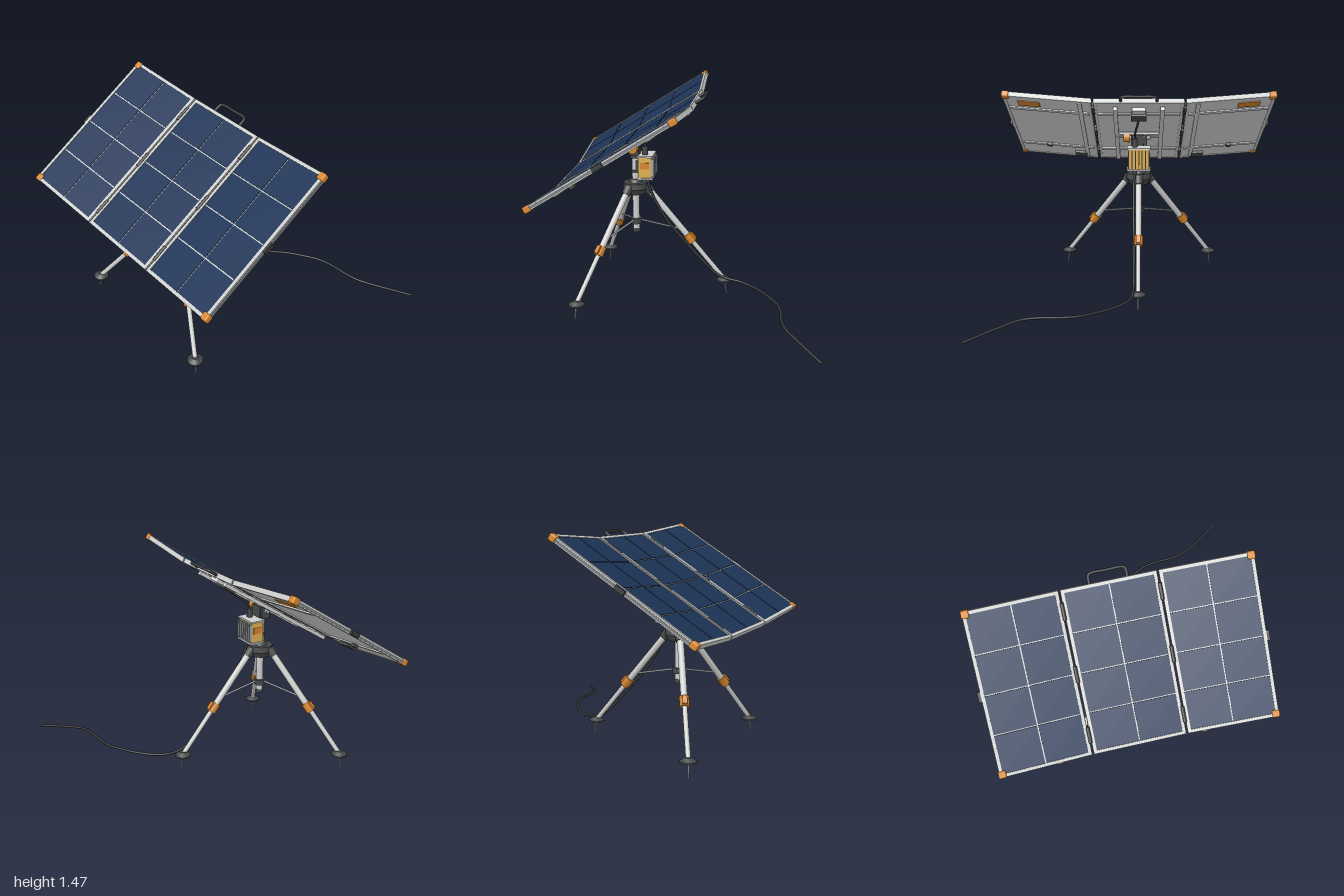
import * as THREE from 'three';
import { RoundedBoxGeometry } from 'three/addons/geometries/RoundedBoxGeometry.js';

const mat = (name, color) => {
  const m = new THREE.MeshStandardMaterial({ color });
  m.name = name;
  return m;
};
const M = {
  aluminium: mat('aluminium', 0xcdcfcd),
  steel: mat('steel', 0xa3a6a7),
  groove: mat('groove grey', 0x7a7d7f),
  back: mat('back sheet', 0xd6d8d6),
  dark: mat('dark plastic', 0x464849),
  rubber: mat('black rubber', 0x37383a),
  cell: mat('solar cell', 0x1d3356),
  orange: mat('orange', 0xd7862c),
  yellow: mat('amber housing', 0xe0b052),
};
const V = (x, y, z) => new THREE.Vector3(x, y, z);

function add(parent, name, geo, material, x = 0, y = 0, z = 0) {
  const m = new THREE.Mesh(geo, material);
  m.name = name;
  m.position.set(x, y, z);
  parent.add(m);
  return m;
}
const box = (p, name, material, w, h, d, x, y, z) =>
  add(p, name, new THREE.BoxGeometry(w, h, d), material, x, y, z);

// Cylinder running from a to b, with a radius at each end
function rod(p, name, material, a, b, ra, rb = ra, sides = 20) {
  const d = b.clone().sub(a);
  const m = add(p, name, new THREE.CylinderGeometry(rb, ra, d.length(), sides), material);
  m.position.copy(a).addScaledVector(d, 0.5);
  m.quaternion.setFromUnitVectors(V(0, 1, 0), d.normalize());
  return m;
}
function tube(p, name, material, points, r, n = 100) {
  const curve = new THREE.CatmullRomCurve3(points.map((q) => V(...q)));
  add(p, name, new THREE.TubeGeometry(curve, n, r, 10), material);
  for (const q of [points[0], points[points.length - 1]])
    add(p, name + 'End', new THREE.SphereGeometry(r, 10, 8), material, ...q);
}

const LEN = 1.088, T = 0.033, BAR = 0.022;

// One framed panel lying flat, cells facing +y
function panel(name, w) {
  const g = new THREE.Group();
  g.name = name;
  for (const s of [-1, 1]) {
    box(g, 'frameSide', M.aluminium, BAR, T, LEN, s * (w - BAR) / 2, 0, 0);
    box(g, 'frameEnd', M.aluminium, w - 2 * BAR, T, BAR, 0, 0, s * (LEN - BAR) / 2);
    box(g, 'frameGroove', M.groove, 0.004, 0.017, LEN - 0.01, s * w / 2, -0.002, 0);
  }
  const iw = w - 2 * BAR, il = LEN - 2 * BAR;
  box(g, 'backSheet', M.back, iw, 0.014, il, 0, -0.006, 0);
  box(g, 'cellBed', M.aluminium, iw, 0.008, il, 0, 0.005, 0);
  const gap = 0.008, cw = (iw - gap) / 2, cl = (il - 3 * gap) / 4;
  for (let i = 0; i < 2; i++)
    for (let j = 0; j < 4; j++)
      box(g, 'solarCell', M.cell, cw, 0.004, cl,
        (i - 0.5) * (cw + gap), 0.011, (j - 1.5) * (cl + gap));
  // Stiffening rails behind the sheet
  for (const z of [-0.35, 0.32]) box(g, 'crossRail', M.back, iw, 0.012, 0.035, 0, -0.016, z);
  return g;
}

function solarArray() {
  const g = new THREE.Group();
  g.name = 'solarArray';
  g.position.set(-0.07, 1.12, 0.41);
  g.rotation.x = 0.5585;
  g.add(panel('centrePanel', 0.61));
  for (const s of [-1, 1]) {
    const wing = new THREE.Group();
    wing.name = s > 0 ? 'leftWing' : 'rightWing';
    wing.position.set(s * 0.317, T / 2, 0);
    wing.rotation.z = s * 0.087;
    const p = panel('wingPanel', 0.6);
    p.position.set(s * 0.3, -T / 2, 0);
    wing.add(p);
    g.add(wing);
    // Corner guards, edge latch and back fittings
    for (const e of [-1, 1])
      add(p, 'cornerGuard', new RoundedBoxGeometry(0.05, 0.045, 0.05, 2, 0.01), M.orange,
        s * 0.282, 0, e * (LEN / 2 - 0.019));
    box(p, 'edgeLatch', M.rubber, 0.022, 0.03, 0.07, s * 0.308, 0, 0);
    box(p, 'backLabel', M.orange, 0.15, 0.008, 0.075, s * 0.13, -0.015, -0.44);
    box(p, 'lowerBackBox', M.dark, 0.09, 0.02, 0.075, s * -0.17, -0.021, 0.46);
    box(p, 'backClip', M.dark, 0.036, 0.022, 0.034, s * 0.06, -0.03, 0.29);
    box(p, 'slopeRail', M.back, 0.03, 0.01, LEN - 0.06, s * -0.22, -0.016, 0);
    // Hinges
    for (const z of [-0.41, 0, 0.41]) {
      rod(g, 'hinge', M.rubber, V(s * 0.311, 0.012, z - 0.055), V(s * 0.311, 0.012, z + 0.055), 0.013);
      box(g, 'hingeLeaf', M.rubber, 0.024, 0.028, 0.1, s * 0.311, -0.006, z);
    }
    // Mounting rails under the centre panel
    box(g, 'mountRail', M.back, 0.03, 0.024, 0.98, s * 0.16, -0.03, 0.01);
  }
  // Junction box and handle
  box(g, 'mountCrossBar', M.steel, 0.35, 0.02, 0.06, 0, -0.032, 0.0);
  box(g, 'junctionBox', M.dark, 0.105, 0.036, 0.09, 0, -0.034, -0.35);
  box(g, 'junctionPlate', M.back, 0.09, 0.024, 0.06, 0, -0.026, -0.43);
  tube(g, 'handle', M.rubber, [[-0.12, 0, -0.53], [-0.12, 0, -0.585], [-0.113, 0, -0.603],
    [-0.095, 0, -0.61], [0, 0, -0.61], [0.095, 0, -0.61], [0.113, 0, -0.603],
    [0.12, 0, -0.585], [0.12, 0, -0.53]], 0.01, 60);
  return g;
}

function tripod() {
  const g = new THREE.Group();
  g.name = 'tripod';
  g.position.set(-0.07, 0, 0.385);
  const up = (name, m, y0, y1, r0, r1, sides) => rod(g, name, m, V(0, y0, 0), V(0, y1, 0), r0, r1, sides);
  // Mast with collars and hub
  up('mast', M.aluminium, 0.46, 1.02, 0.024);
  up('mastFoot', M.dark, 0.448, 0.472, 0.028);
  up('braceCollar', M.dark, 0.51, 0.55, 0.04);
  up('hubSkirt', M.dark, 0.735, 0.775, 0.072, 0.092, 12);
  up('hub', M.dark, 0.775, 0.815, 0.092, 0.085, 12);
  up('hubNeck', M.dark, 0.815, 0.84, 0.05, 0.035);
  up('mastRing', M.dark, 0.885, 0.905, 0.031);
  up('headSocket', M.dark, 0.99, 1.03, 0.036);
  // Tilt head
  box(g, 'tiltBlock', M.dark, 0.07, 0.08, 0.07, 0, 1.06, 0);
  for (const s of [-1, 1]) box(g, 'tiltCheek', M.dark, 0.016, 0.085, 0.065, s * 0.05, 1.06, 0);
  rod(g, 'tiltAxle', M.steel, V(-0.085, 1.075, 0), V(0.085, 1.075, 0), 0.014);
  rod(g, 'tiltKnob', M.orange, V(0.065, 1.075, 0), V(0.11, 1.075, 0), 0.037, 0.034, 12);

  // Three legs around the mast
  for (const a of [Math.PI / 6, Math.PI * 5 / 6, Math.PI * 1.5]) {
    const leg = new THREE.Group();
    leg.name = 'leg';
    leg.rotation.y = -a;
    g.add(leg);
    const top = V(0.075, 0.785, 0), foot = V(0.632, 0.11, 0);
    const at = (t) => top.clone().lerp(foot, t);
    rod(leg, 'upperLeg', M.aluminium, at(0), at(0.56), 0.022);
    rod(leg, 'lowerLeg', M.aluminium, at(0.5), at(1), 0.016);
    rod(leg, 'legClamp', M.orange, at(0.515), at(0.595), 0.032, 0.032, 8);
    const lug = box(leg, 'clampLever', M.orange, 0.02, 0.055, 0.03, 0, 0, 0);
    lug.position.copy(at(0.555)).add(V(0.022, 0.018, 0));
    lug.rotation.z = 0.69;
    rod(leg, 'hubSocket', M.dark, at(-0.01), at(0.06), 0.034, 0.03);
    rod(leg, 'brace', M.steel, V(0.035, 0.535, 0), at(0.46), 0.007, 0.007, 8);
    rod(leg, 'footPad', M.dark, V(0.632, 0.098, 0), V(0.632, 0.108, 0), 0.055);
    rod(leg, 'footDome', M.dark, V(0.632, 0.108, 0), V(0.632, 0.13, 0), 0.053, 0.022);
    rod(leg, 'groundSpike', M.steel, V(0.65, 0, 0), V(0.634, 0.1, 0), 0.005, 0.007, 8);
  }
  return g;
}

// Charge controller with cooling fins facing the back
function controller() {
  const g = new THREE.Group();
  g.name = 'chargeController';
  g.position.set(-0.07, 0.937, 0.305);
  box(g, 'housing', M.yellow, 0.15, 0.145, 0.092, 0, 0, 0.002);
  for (const s of [-1, 1]) {
    box(g, 'endPlate', M.aluminium, 0.17, 0.012, 0.108, 0, s * 0.078, 0);
    box(g, 'sideLabel', M.orange, 0.006, 0.045, 0.065, s * 0.076, 0.012, 0.002);
  }
  for (let i = 0; i < 7; i++)
    box(g, 'coolingFin', M.steel, 0.007, 0.125, 0.022, (i - 3) * 0.024, 0, -0.052);
  box(g, 'mastBracket', M.dark, 0.06, 0.07, 0.03, 0, 0, 0.06);
  rod(g, 'topGland', M.dark, V(0.03, 0.08, 0.005), V(0.03, 0.145, 0.005), 0.02);
  rod(g, 'bottomGland', M.dark, V(0.03, -0.11, -0.01), V(0.03, -0.08, -0.01), 0.016);
  return g;
}

export function createModel() {
  const root = new THREE.Group();
  root.name = 'portableSolarStation';
  root.add(solarArray(), tripod(), controller());
  // Cable from junction box to controller
  tube(root, 'panelCable', M.rubber, [[-0.07, 1.262, 0.105], [-0.06, 1.2, 0.185],
    [-0.045, 1.135, 0.27], [-0.04, 1.1, 0.303], [-0.04, 1.06, 0.31]], 0.008, 40);
  // Output cable down the back leg and along the ground
  tube(root, 'outputCable', M.rubber, [[-0.04, 0.84, 0.295], [-0.035, 0.77, 0.275], [-0.035, 0.68, 0.235],
    [-0.035, 0.54, 0.15], [-0.04, 0.36, 0], [-0.04, 0.25, -0.1], [-0.04, 0.155, -0.2],
    [-0.035, 0.125, -0.28], [-0.02, 0.117, -0.35], [0.02, 0.112, -0.42], [0.1, 0.11, -0.5],
    [0.2, 0.108, -0.57], [0.32, 0.108, -0.635], [0.43, 0.11, -0.658], [0.55, 0.111, -0.665],
    [0.67, 0.107, -0.69], [0.8, 0.088, -0.77], [0.99, 0.053, -0.907]], 0.009, 160);
  return root;
}
